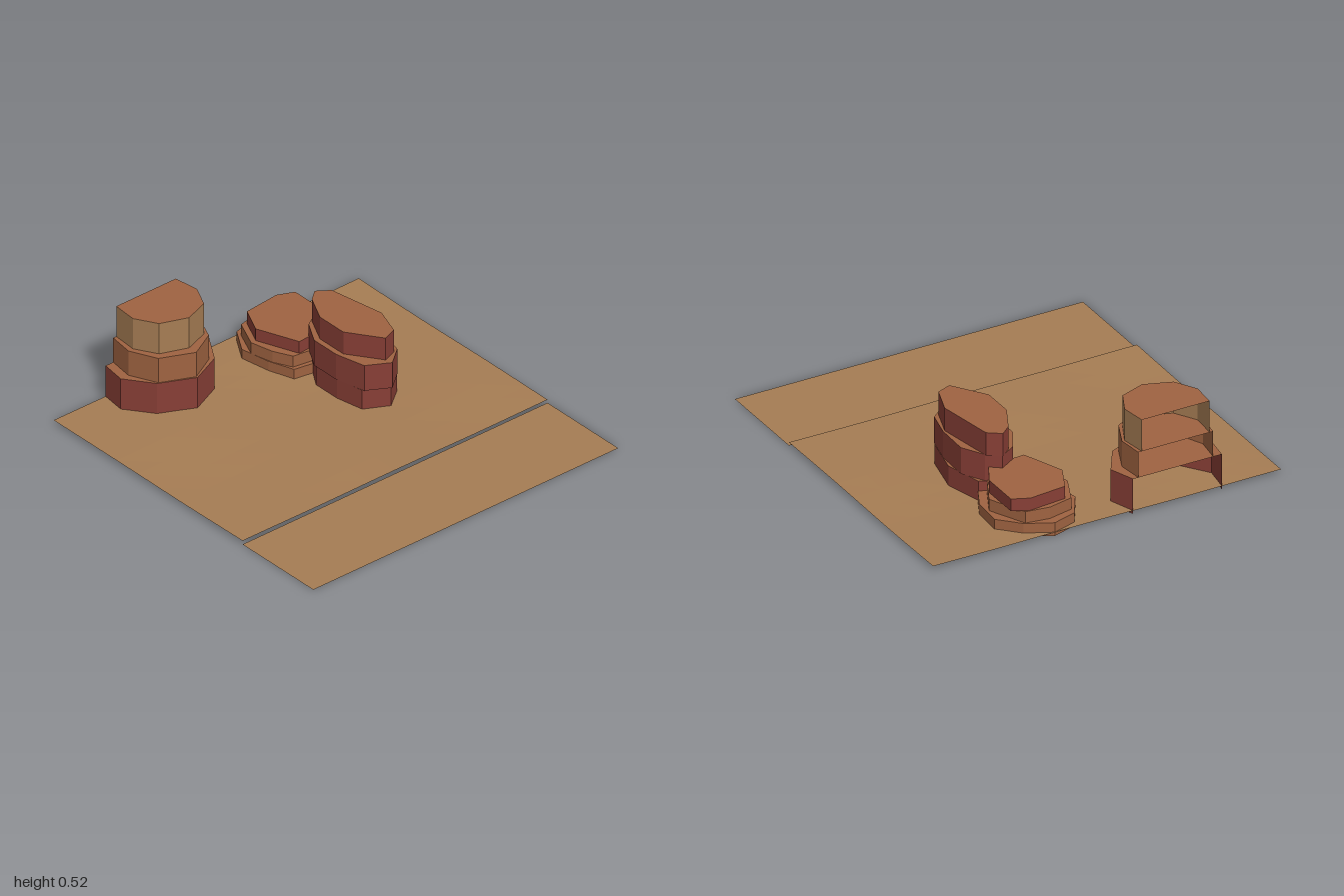
import * as THREE from 'three';

const mat = (name, color) => new THREE.MeshStandardMaterial({ name, color, side: THREE.DoubleSide, flatShading: true });

// Each tier: [bottom, top, wall colour, outline as x,z pairs clockwise from above]
const ROCKS = {
  tallMesa: [
    [0, 0.2, 'red', [[-1, 0.15], [-0.86, 0.1], [-0.7, 0.2], [-0.62, 0.38], [-0.71, 0.57], [-0.86, 0.68], [-1, 0.66]]],
    [0.2, 0.345, 'sienna', [[-1, 0.18], [-0.86, 0.165], [-0.71, 0.23], [-0.63, 0.38], [-0.71, 0.56], [-0.86, 0.63], [-1, 0.61]]],
    [0.345, 0.525, 'tan', [[-1, 0.2], [-0.86, 0.18], [-0.735, 0.24], [-0.685, 0.38], [-0.74, 0.53], [-0.86, 0.6], [-1, 0.59]]],
  ],
  lowButte: [
    [0, 0.075, 'sienna', [[-1, -0.3], [-0.93, -0.44], [-0.82, -0.545], [-0.65, -0.535], [-0.53, -0.475], [-0.485, -0.3],
      [-0.51, -0.16], [-0.65, -0.11], [-0.82, -0.08], [-0.96, -0.165]]],
    [0.075, 0.14, 'sienna', [[-0.95, -0.3], [-0.93, -0.43], [-0.73, -0.525], [-0.56, -0.44], [-0.51, -0.3],
      [-0.53, -0.17], [-0.63, -0.12], [-0.76, -0.09], [-0.92, -0.16]]],
    [0.14, 0.21, 'red', [[-0.93, -0.4], [-0.89, -0.49], [-0.67, -0.49], [-0.54, -0.42], [-0.53, -0.21], [-0.76, -0.12], [-0.91, -0.19]]],
  ],
  longButte: [
    [0, 0.13, 'red', [[-0.58, -0.37], [-0.53, -0.47], [-0.32, -0.525], [-0.09, -0.475], [-0.01, -0.37],
      [-0.08, -0.24], [-0.24, -0.21], [-0.4, -0.21], [-0.53, -0.29]]],
    [0.13, 0.28, 'red', [[-0.595, -0.37], [-0.54, -0.44], [-0.42, -0.51], [-0.23, -0.505], [-0.08, -0.47], [0, -0.37],
      [-0.07, -0.245], [-0.24, -0.205], [-0.41, -0.205], [-0.54, -0.28]]],
    [0.28, 0.41, 'red', [[-0.6, -0.37], [-0.55, -0.44], [-0.23, -0.495], [-0.07, -0.44], [-0.04, -0.36],
      [-0.22, -0.235], [-0.4, -0.235], [-0.55, -0.31]]],
  ],
};

function meshFrom(points, material, name) {
  const geo = new THREE.BufferGeometry();
  geo.setAttribute('position', new THREE.Float32BufferAttribute(points, 3));
  geo.computeVertexNormals();
  const mesh = new THREE.Mesh(geo, material);
  mesh.name = name;
  return mesh;
}

// Open-bottomed rock layer: upright walls and a flat cap
function makeTier(y0, y1, outline, wallMat, capMat) {
  const walls = [], cap = [];
  const n = outline.length;
  const cx = outline.reduce((s, p) => s + p[0], 0) / n;
  const cz = outline.reduce((s, p) => s + p[1], 0) / n;
  outline.forEach(([ax, az], i) => {
    const [bx, bz] = outline[(i + 1) % n];
    cap.push(cx, y1, cz, bx, y1, bz, ax, y1, az);
    if (ax === -1 && bx === -1) return; // left open where the terrain ends
    walls.push(bx, y0, bz, ax, y0, az, ax, y1, az);
    walls.push(bx, y0, bz, ax, y1, az, bx, y1, bz);
  });
  const tier = new THREE.Group();
  tier.add(meshFrom(walls, wallMat, 'tierWalls'), meshFrom(cap, capMat, 'tierCap'));
  return tier;
}

export function createModel() {
  const model = new THREE.Group();
  model.name = 'desertTerrain';
  const mats = {
    tan: mat('sandTan', 0xa67d54),
    sienna: mat('sienna', 0x9f6341),
    red: mat('redRock', 0x883f36),
  };

  // Raised, gently uneven desert floor
  const edge = 0.455;
  const floorGeo = new THREE.PlaneGeometry(1 + edge, 2, 9, 12).rotateX(-Math.PI / 2);
  floorGeo.translate((edge - 1) / 2, 0, 0);
  const pos = floorGeo.attributes.position;
  for (let i = 0; i < pos.count; i++) {
    const x = pos.getX(i), z = pos.getZ(i);
    pos.setY(i, 0.019 + 0.003 * Math.sin(5 * x + 2 * z) * Math.cos(4 * z - x));
  }
  floorGeo.computeVertexNormals();
  const floor = new THREE.Mesh(floorGeo, mats.tan);
  floor.name = 'desertFloor';

  // Flat lower strip along one side
  const stripGeo = new THREE.PlaneGeometry(1 - edge, 2).rotateX(-Math.PI / 2);
  const strip = new THREE.Mesh(stripGeo, mats.tan);
  strip.name = 'lowerStrip';
  strip.position.x = (1 + edge) / 2;
  model.add(floor, strip);

  // Layered rock formations
  for (const [name, tiers] of Object.entries(ROCKS)) {
    const rock = new THREE.Group();
    rock.name = name;
    tiers.forEach(([y0, y1, colour, outline], i) => {
      const tier = makeTier(y0, y1, outline, mats[colour], mats.sienna);
      tier.name = `${name}Tier${i + 1}`;
      rock.add(tier);
    });
    model.add(rock);
  }
  return model;
}
